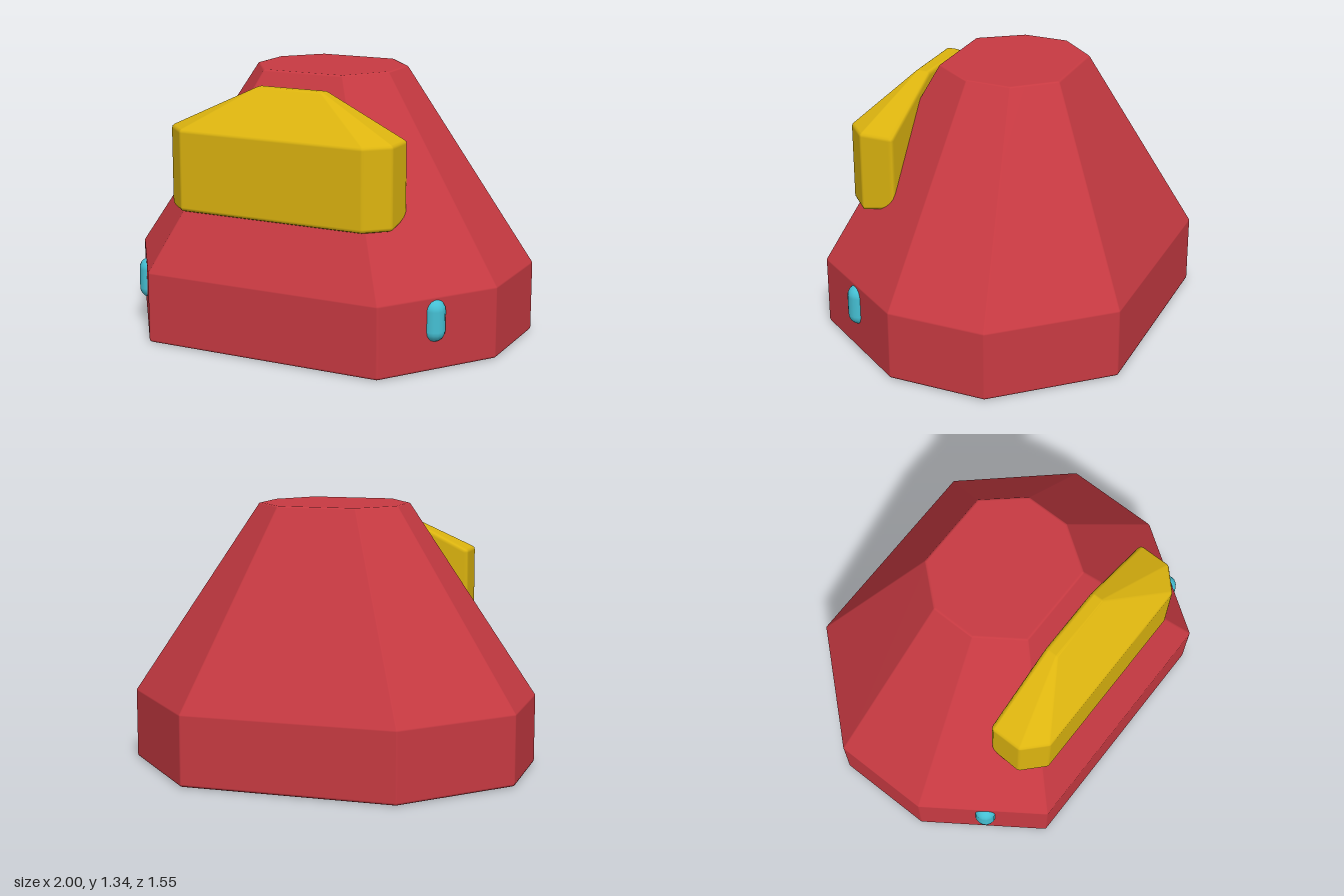
import * as THREE from 'three';
import { ConvexGeometry } from 'three/addons/geometries/ConvexGeometry.js';

const V = (x, y, z) => new THREE.Vector3(x, y, z);

// Convex solid with flat faces and softly rounded edges of radius r
function roundedHull(corners, r) {
  const box = new THREE.Box3().setFromPoints(corners);
  const mid = box.getCenter(V()), size = box.getSize(V());
  const inset = V(1 - 2 * r / size.x, 1 - 2 * r / size.y, 1 - 2 * r / size.z);
  const core = corners.map((c) => c.clone().sub(mid).multiply(inset).add(mid));

  // Push each corner out along its face normals and the directions between them
  const coreGeo = new ConvexGeometry(core);
  const cp = coreGeo.attributes.position, cn = coreGeo.attributes.normal;
  const points = [], dirs = [];
  for (const v of core) {
    const faces = [];
    for (let i = 0; i < cp.count; i++) {
      if (V().fromBufferAttribute(cp, i).distanceTo(v) > 1e-4) continue;
      const n = V().fromBufferAttribute(cn, i).normalize();
      if (!faces.some((f) => f.dot(n) > 0.9995)) faces.push(n);
    }
    const around = [...faces];
    faces.forEach((a, i) => faces.slice(i + 1).forEach((b) => around.push(a.clone().add(b).normalize())));
    around.push(faces.reduce((s, f) => s.add(f), V(0, 0, 0)).normalize());
    for (const d of around) {
      points.push(v.clone().addScaledVector(d, r));
      dirs.push(d);
    }
  }

  // Smooth normals follow the push directions
  const geo = new ConvexGeometry(points);
  const pos = geo.attributes.position, p = V();
  for (let i = 0; i < pos.count; i++) {
    p.fromBufferAttribute(pos, i);
    let best = 0, bestD = Infinity;
    points.forEach((q, k) => {
      const d = q.distanceToSquared(p);
      if (d < bestD) { bestD = d; best = k; }
    });
    geo.attributes.normal.setXYZ(i, dirs[best].x, dirs[best].y, dirs[best].z);
  }
  return geo;
}

// Corners mirrored across x
const mirrored = (list) => list.flatMap(([x, y, z]) => [V(x, y, z), V(-x, y, z)]);

export function createModel() {
  const model = new THREE.Group();
  model.name = 'model';
  const red = new THREE.MeshStandardMaterial({ name: 'red', color: 0xc83a42 });
  const yellow = new THREE.MeshStandardMaterial({ name: 'yellow', color: 0xdcb40f });
  const cyan = new THREE.MeshStandardMaterial({ name: 'cyan', color: 0x45c0d4 });

  const add = (name, geometry, material) => {
    const mesh = new THREE.Mesh(geometry, material);
    mesh.name = name;
    model.add(mesh);
    return mesh;
  };

  // Body: eight-sided base band tapering to a small flat top
  const base = [[0.625, 0.775], [1, 0.23], [1, -0.27], [0.545, -0.775]];
  const top = [[0.215, 0.31], [0.36, 0.1], [0.36, -0.127], [0.2, -0.31]];
  add('body', roundedHull(mirrored([
    ...base.map(([x, z]) => [x, 0, z]),
    ...base.map(([x, z]) => [x, 0.345, z]),
    ...top.map(([x, z]) => [x, 1.335, z]),
  ]), 0.015), red);

  // Visor: chamfered block with a sloping roof on the front
  add('visor', roundedHull(mirrored([
    [0.5, 0.66, 0.668], [0.6, 0.66, 0.56], [0.6, 0.69, 0.39],
    [0.5, 1.06, 0.668], [0.6, 1.06, 0.56], [0.6, 1.06, 0.39],
    [0.18, 1.272, 0.435], [0.18, 1.272, 0.39],
  ]), 0.022), yellow);

  // Side lights: upright capsules half sunk into the front corner faces
  for (const [name, side] of [['leftLight', 1], ['rightLight', -1]]) {
    add(name, new THREE.CapsuleGeometry(0.055, 0.1, 5, 16), cyan).position.set(side * 0.79, 0.245, 0.502);
  }

  return model;
}
